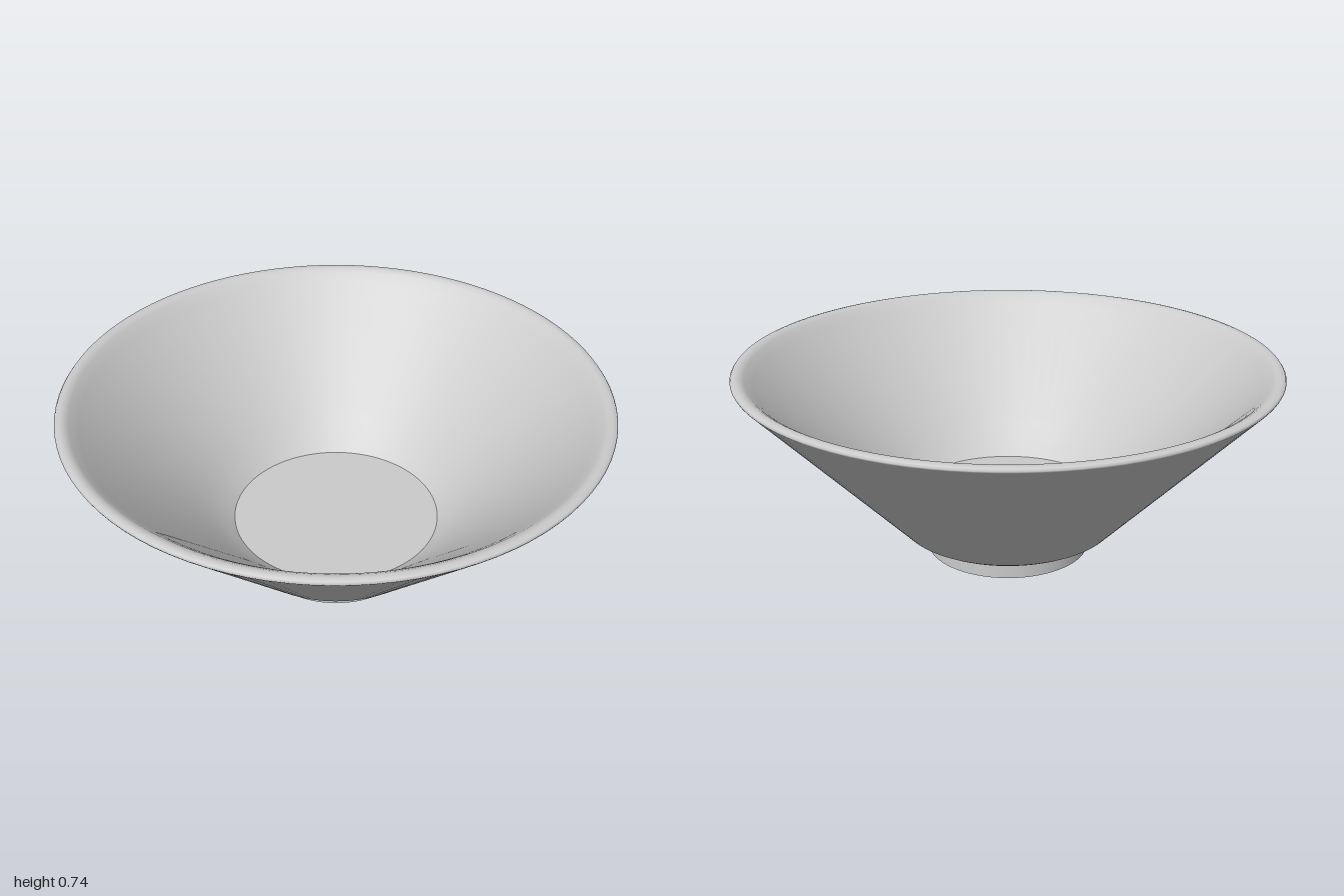
import * as THREE from 'three';

const SEGMENTS = 96;

export function createModel() {
  const group = new THREE.Group();
  const material = new THREE.MeshStandardMaterial({ color: 0xcccccc });

  const add = (name, geometry) => {
    const mesh = new THREE.Mesh(geometry, material);
    mesh.name = name;
    group.add(mesh);
    return mesh;
  };
  const lathe = (points) =>
    new THREE.LatheGeometry(points.map(([r, y]) => new THREE.Vector2(r, y)), SEGMENTS);

  // Outer wall, rounded rim and inner wall as one smooth profile
  add('bowlWall', lathe([
    [0.3, 0.055], [0.39, 0.093], [0.41, 0.105], [0.43, 0.126],
    [0.98, 0.7], [0.997, 0.718],
    [1.0, 0.724], [0.995, 0.731], [0.98, 0.735], [0.965, 0.733], [0.95, 0.724],
    [0.92, 0.697], [0.52, 0.306], [0.47, 0.258], [0.43, 0.222], [0.39, 0.19],
  ]));

  // Flat inner floor
  const floor = add('bowlFloor', new THREE.CircleGeometry(0.39, SEGMENTS));
  floor.rotation.x = -Math.PI / 2;
  floor.position.y = 0.19;

  // Solid foot under the bowl
  const foot = add('foot', new THREE.CylinderGeometry(0.308, 0.308, 0.058, SEGMENTS));
  foot.position.y = 0.029;

  return group;
}
